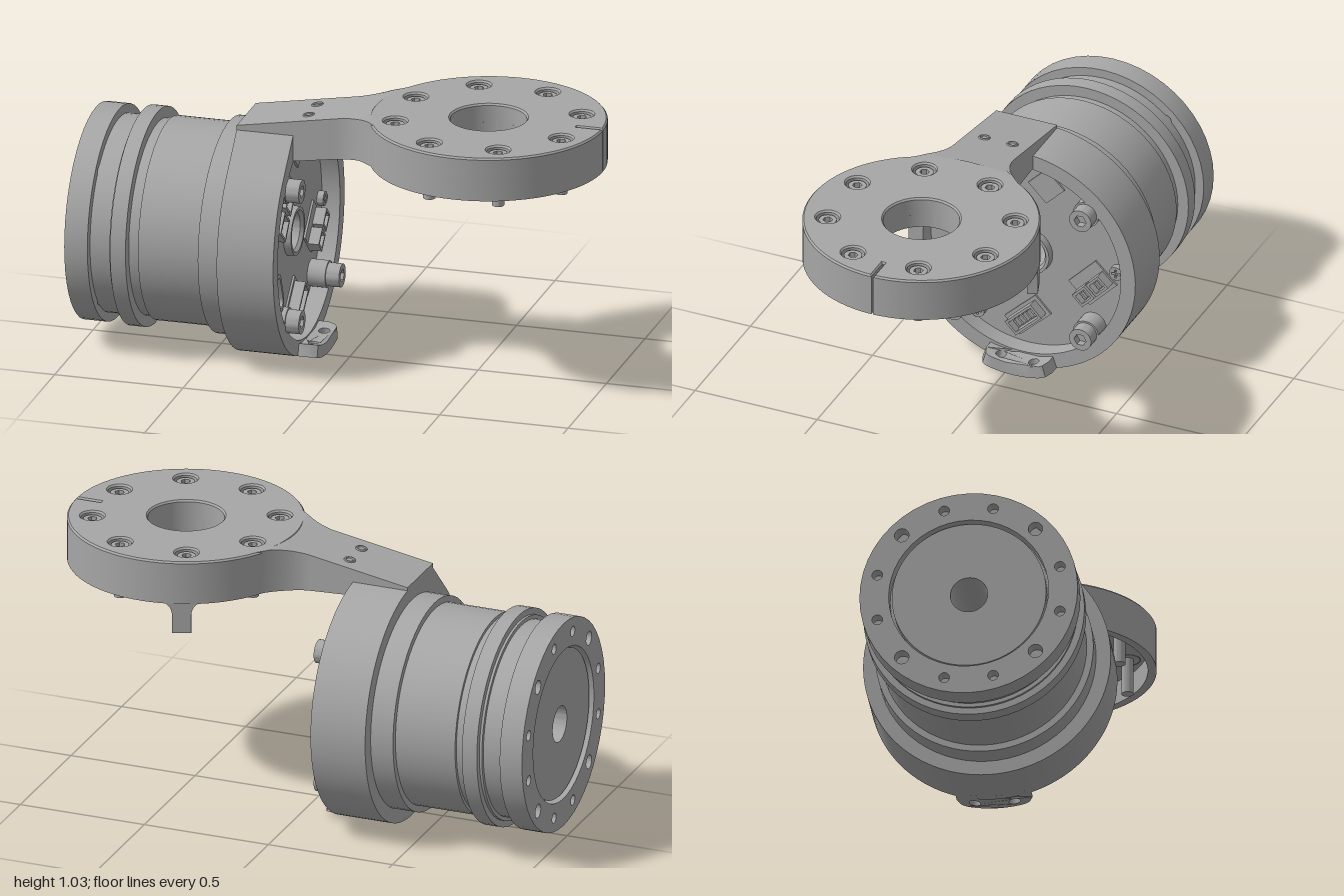
import * as THREE from 'three';
import { toCreasedNormals } from 'three/addons/utils/BufferGeometryUtils.js';

const grey = new THREE.MeshStandardMaterial({ color: 0xa6a6a6 });
grey.name = 'machined grey';

const AXIS_Y = 0.465, AXIS_Z = -0.035;      // motor axis runs along x
const DISC_X = 0.555, DISC_Z = 0.0475;      // centre of the arm disc
const PI = Math.PI;

function add(parent, name, geo, x = 0, y = 0, z = 0, crease = 0.5) {
  const m = new THREE.Mesh(toCreasedNormals(geo, crease), grey);
  m.name = name;
  m.position.set(x, y, z);
  parent.add(m);
  return m;
}
const extrude = (shape, depth, extra = {}) =>
  new THREE.ExtrudeGeometry(shape, { depth, bevelEnabled: false, curveSegments: 48, ...extra });
const cyl = (r, h, n = 24) => new THREE.CylinderGeometry(r, r, h, n);

function circle(r, cx = 0, cy = 0, Type = THREE.Path) {
  const p = new Type();
  p.absarc(cx, cy, r, 0, 2 * PI, false);
  return p;
}
function ringShape(outer, inner) {
  const s = circle(outer, 0, 0, THREE.Shape);
  s.holes.push(circle(inner));
  return s;
}
function poly(points, Type = THREE.Shape) {
  return new Type(points.map(([x, y]) => new THREE.Vector2(x, y)));
}
const rect = (w, h, Type) => poly([[-w / 2, -h / 2], [w / 2, -h / 2], [w / 2, h / 2], [-w / 2, h / 2]], Type);

// Screw along +z with a hexagonal or cross recess
function screw(name, r, h, cross = false) {
  const g = new THREE.Group();
  g.name = name;
  const head = circle(r, 0, 0, THREE.Shape);
  const a = r * 0.16, b = r * 0.62;
  const pts = cross
    ? [[b, -a], [b, a], [a, a], [a, b], [-a, b], [-a, a], [-b, a], [-b, -a], [-a, -a], [-a, -b], [a, -b], [a, -a]]
    : Array.from({ length: 6 }, (_, i) => [r * 0.55 * Math.cos(i * PI / 3), r * 0.55 * Math.sin(i * PI / 3)]);
  head.holes.push(poly(pts, THREE.Path));
  add(g, 'screwHead', extrude(head, h, { curveSegments: 14 }));
  add(g, 'recessFloor', cyl(r * 0.8, h * 0.5).rotateX(PI / 2), 0, 0, h * 0.25);
  return g;
}

// Motor body, turned around the x axis
function motor(parent) {
  const profile = [
    [0.07, -0.985], [0.29, -0.985], [0.29, -0.95], [0.375, -0.95], [0.375, -0.83], [0.39, -0.83], [0.39, -0.82],
    [0.415, -0.82], [0.415, -0.76], [0.372, -0.76], [0.372, -0.72], [0.385, -0.72], [0.385, -0.48],
    [0.41, -0.48], [0.41, -0.24], [0.095, -0.24], [0.092, -0.212], [0.08, -0.212], [0.07, -0.225], [0.07, -0.985],
  ];
  const geo = new THREE.LatheGeometry(profile.map(([r, x]) => new THREE.Vector2(r, x)), 64).rotateZ(-PI / 2);
  add(parent, 'motorBody', geo);

  // output flange with bolt holes
  const flange = ringShape(0.41, 0.3);
  for (let i = 0; i < 12; i++) {
    const a = (i + 0.5) * PI / 6;
    flange.holes.push(circle(i % 3 === 1 ? 0.027 : 0.02, 0.355 * Math.cos(a), 0.355 * Math.sin(a)));
  }
  add(parent, 'outputFlange', extrude(flange, 0.09, { curveSegments: 24 }).rotateY(PI / 2), -1);

  // collar with a flat tangent corner on one side, under the arm
  const collar = new THREE.Shape();
  collar.absarc(0, 0, 0.465, 0.75 * PI, 2.5 * PI, false);
  collar.lineTo(-0.205, 0.457);
  collar.holes.push(circle(0.405));
  add(parent, 'collar', extrude(collar, 0.22).rotateY(PI / 2), -0.39);

  // bottom tab: a plate with rounded corners and two holes, bent to the collar radius
  const edge = [];
  const N = 20, W = 0.145, rc = 0.04;
  for (let i = 0; i <= N; i++) edge.push([-W + 2 * W * i / N, -0.03]);
  for (let i = N; i >= 0; i--) {
    const s = -W + 2 * W * i / N, d = Math.max(0, Math.abs(s) - (W - rc));
    edge.push([s, 0.08 - rc + Math.sqrt(Math.max(0, rc * rc - d * d))]);
  }
  const tab = poly(edge);
  for (const s of [-0.075, 0.075]) tab.holes.push(circle(0.022, s, 0.04));
  const tabGeo = extrude(tab, 0.048, { curveSegments: 8 });
  const p = tabGeo.attributes.position;
  for (let i = 0; i < p.count; i++) {
    const r = 0.465 - p.getZ(i), t = p.getX(i) / 0.465;
    p.setXYZ(i, -0.17 + p.getY(i), -r * Math.cos(t), r * Math.sin(t));
  }
  add(parent, 'bottomTab', tabGeo);
}

// Open-topped socket with a row of pins
function socket(parent, x, y, len, wid, angle, pins) {
  const g = new THREE.Group();
  g.name = 'connector';
  g.position.set(x, y, 0);
  g.rotation.z = angle;
  const wall = rect(len, wid);
  wall.holes.push(rect(len - 0.02, wid - 0.02, THREE.Path));
  add(g, 'socketWall', extrude(wall, 0.05));
  for (let i = 0; i < pins; i++)
    add(g, 'pin', new THREE.BoxGeometry(0.008, wid * 0.5, 0.035), ((i + 0.5) / pins - 0.5) * (len - 0.03), 0, 0.017);
  parent.add(g);
}

// Circuit board details; local x, y lie in the board and z points outwards
function board(parent) {
  const b = new THREE.Group();
  b.name = 'circuitBoard';
  b.position.x = -0.24;
  b.rotation.y = PI / 2;
  parent.add(b);
  const pad = (name, x, y, w, h, a) => {
    add(b, name, new THREE.BoxGeometry(w, h, 0.01), x, y, 0.003).rotation.z = a;
  };
  const pair = (x, y, a, len, wid, gap, pins) => [-1, 1].forEach(s =>
    socket(b, x + s * gap * Math.cos(a), y + s * gap * Math.sin(a), len, wid, a, pins));

  pad('connectorPad', -0.208, 0.137, 0.225, 0.135, 0.85);
  pair(-0.203, 0.142, 0.85, 0.09, 0.085, 0.053, 3);
  pad('connectorPad', 0.262, -0.075, 0.158, 0.122, 0.8);
  pair(0.27, -0.088, 0.8, 0.07, 0.06, 0.041, 2);
  pad('connectorPad', -0.004, -0.282, 0.174, 0.093, 0.76);
  socket(b, -0.004, -0.282, 0.145, 0.066, 0.76, 5);
  pad('chip', 0.072, 0.3, 0.105, 0.105, 0.785);

  // oval port
  const oval = (l, r, Type) => {
    const s = new Type();
    s.absarc(l, 0, r, -PI / 2, PI / 2, false);
    s.absarc(-l, 0, r, PI / 2, 1.5 * PI, false);
    return s;
  };
  const port = oval(0.05, 0.035, THREE.Shape);
  port.holes.push(oval(0.045, 0.022, THREE.Path));
  add(b, 'ovalPort', extrude(port, 0.055, { curveSegments: 10 }), -0.323, -0.13).rotation.z = 1.95;
  add(b, 'portTongue', new THREE.BoxGeometry(0.09, 0.014, 0.04), -0.323, -0.13, 0.02).rotation.z = 1.95;

  // corner bosses with socket screws
  for (const sx of [-1, 1]) for (const sy of [-1, 1]) {
    add(b, 'screwBoss', cyl(0.052, 0.07).rotateX(PI / 2), sx * 0.262, sy * 0.26, 0.035);
    const s = screw('cornerScrew', 0.045, 0.055);
    s.position.set(sx * 0.262, sy * 0.26, 0.067);
    b.add(s);
  }
  for (const [x, y] of [[-0.203, 0.303], [0.364, 0], [-0.203, -0.304]]) {
    const s = screw('boardScrew', 0.028, 0.025, true);
    s.position.set(x, y, 0);
    b.add(s);
  }
}

// Arm: a box whose grid follows a flared outline, a sloping top and an arched underside
function arm(parent) {
  const geo = new THREE.BoxGeometry(1, 1, 1, 36, 1, 14);
  const p = geo.attributes.position;
  const END_W = 0.28, R = 0.432;
  const endX = w => DISC_X - Math.sqrt(R * R - w * w);
  for (let i = 0; i < p.count; i++) {
    const s = p.getX(i) + 0.5, t = p.getZ(i) * 2, top = p.getY(i) > 0;
    const side = THREE.MathUtils.lerp(-0.39, endX(END_W), s);
    const w = 0.125 + (END_W - 0.125) * Math.max(0, side / endX(END_W)) ** 2;
    const x = THREE.MathUtils.lerp(-0.39, endX(t * END_W), s);
    const z = DISC_Z + t * w - 0.003;
    const dz = z - AXIS_Z;
    const arch = AXIS_Y + Math.sqrt(Math.max(0.09, 0.41 * 0.41 - dz * dz));
    const k = THREE.MathUtils.clamp((x + 0.17) / 0.26, 0, 1);
    const yTop = 0.94 + 0.09 * Math.min(1, (x + 0.39) / 0.52);
    p.setXYZ(i, x, top ? yTop : THREE.MathUtils.lerp(arch, 0.86, k), z);
  }
  add(parent, 'arm', geo, 0, 0, 0, 0.4);
  for (const z of [-0.015, 0.1])
    add(parent, 'armRivet', new THREE.TorusGeometry(0.018, 0.005, 6, 20).rotateX(PI / 2).rotateZ(0.17), -0.13, 0.985, z);
}

// Hollow disc at the end of the arm
function disc(parent) {
  const g = new THREE.Group();
  g.name = 'armDisc';
  g.position.set(DISC_X, 0, DISC_Z);
  parent.add(g);
  const R = 0.445, gap = 0.009;
  const spots = Array.from({ length: 8 }, (_, i) => {
    const a = (i + 0.5) * PI / 4;
    return [0.35 * Math.cos(a), 0.35 * Math.sin(a)];
  });

  const plate = new THREE.Shape();
  plate.absarc(0, 0, R, gap, 2 * PI - gap, false);
  plate.lineTo(0.345, -0.004);
  plate.lineTo(0.345, 0.004);
  plate.holes.push(circle(0.143));
  for (const [x, z] of spots) plate.holes.push(circle(0.043, x, z));
  const bevel = { bevelEnabled: true, bevelThickness: 0.007, bevelSize: 0.006, bevelOffset: -0.006, bevelSegments: 1, curveSegments: 40 };
  add(g, 'topPlate', extrude(plate, 0.066, bevel).rotateX(PI / 2), 0, 1.023);

  const wall = new THREE.Shape();
  wall.absarc(0, 0, R, gap, 2 * PI - gap, false);
  wall.absarc(0, 0, 0.412, 2 * PI - gap, gap, true);
  add(g, 'rimWall', extrude(wall, 0.16, { curveSegments: 40 }).rotateX(PI / 2), 0, 1.02);
  add(g, 'hubRing', extrude(ringShape(0.168, 0.143), 0.07).rotateX(PI / 2), 0, 0.975);

  for (const [x, z] of spots) {
    add(g, 'screwSeat', cyl(0.046, 0.03), x, 0.965, z);
    add(g, 'screwShank', cyl(0.023, 0.16), x, 0.89, z);
    const s = screw('discScrew', 0.034, 0.04);
    s.rotation.x = -PI / 2;
    s.position.set(x, 0.978, z);
    g.add(s);
  }

  // hanging clip on the rim, flared where it meets the wall
  const clip = new THREE.Shape();
  clip.moveTo(-0.036, 0);
  clip.lineTo(0.036, 0);
  clip.lineTo(0.036, 0.075);
  clip.quadraticCurveTo(0.04, 0.115, 0.075, 0.125);
  clip.lineTo(-0.075, 0.125);
  clip.quadraticCurveTo(-0.04, 0.115, -0.036, 0.075);
  add(g, 'rimClip', extrude(clip, 0.04, { curveSegments: 8 }), -0.15, 0.74, -0.412).rotation.y = 0.35;
}

export function createModel() {
  const model = new THREE.Group();
  model.name = 'motorWithArm';
  const unit = new THREE.Group();
  unit.name = 'motorUnit';
  unit.position.set(0, AXIS_Y, AXIS_Z);
  model.add(unit);
  motor(unit);
  board(unit);
  arm(model);
  disc(model);
  return model;
}
